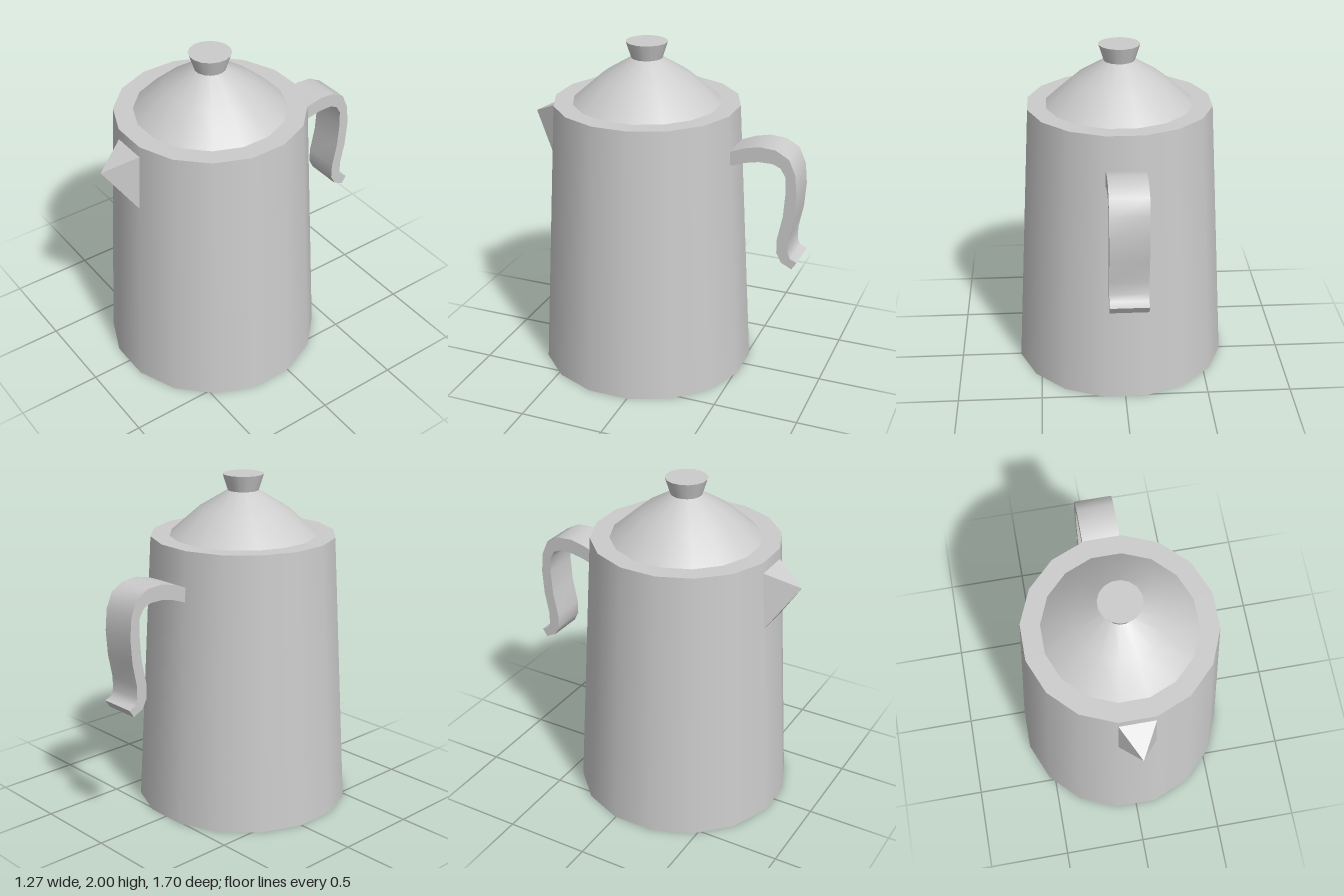
import * as THREE from 'three';
import { toCreasedNormals } from 'three/addons/utils/BufferGeometryUtils.js';

const SIDES = 16;
const START = Math.PI / SIDES; // a flat side faces front, back, left and right
const BODY_Z = 0.12;

export function createModel() {
  const model = new THREE.Group();
  const grey = new THREE.MeshStandardMaterial({ color: 0xcccccc });
  const faceted = new THREE.MeshStandardMaterial({ color: 0xcccccc, flatShading: true });

  function add(name, geometry, material = grey) {
    const mesh = new THREE.Mesh(geometry, material);
    mesh.name = name;
    model.add(mesh);
    return mesh;
  }

  function taperedCylinder(name, topRadius, bottomRadius, y0, y1) {
    const geometry = new THREE.CylinderGeometry(
      topRadius, bottomRadius, y1 - y0, SIDES, 1, false, START);
    add(name, geometry).position.set(0, (y0 + y1) / 2, BODY_Z);
  }

  // Tapered pot and flared knob
  taperedCylinder('body', 0.55, 0.645, 0, 1.645);
  taperedCylinder('knob', 0.122, 0.09, 1.9, 2);

  // Domed lid
  const lidProfile = [[0.438, 1.645], [0.262, 1.8], [0.09, 1.905]]
    .map(([r, y]) => new THREE.Vector2(r, y));
  add('lid', new THREE.LatheGeometry(lidProfile, SIDES, START)).position.z = BODY_Z;

  // Pyramid spout: four corners on the front wall and a tip
  const spout = new THREE.BufferGeometry();
  spout.setAttribute('position', new THREE.Float32BufferAttribute([
    -0.11, 1.235, 0.68,
    0.11, 1.235, 0.68,
    0.11, 1.585, 0.655,
    -0.11, 1.585, 0.655,
    0, 1.49, 0.85,
  ], 3));
  spout.setIndex([0, 1, 4, 1, 2, 4, 2, 3, 4, 3, 0, 4, 0, 2, 1, 0, 3, 2]);
  const spoutFaces = spout.toNonIndexed();
  spoutFaces.computeVertexNormals();
  add('spout', spoutFaces, faceted);

  // Curved strap handle: side outline as (z, y), extruded across x
  const outer = [
    [-0.42, 1.433], [-0.514, 1.47], [-0.604, 1.49], [-0.7, 1.483], [-0.78, 1.438],
    [-0.82, 1.347], [-0.832, 1.225], [-0.822, 1.077], [-0.795, 0.94], [-0.795, 0.865],
    [-0.81, 0.828], [-0.852, 0.81],
  ];
  const inner = [
    [-0.822, 0.764], [-0.758, 0.796], [-0.728, 0.854], [-0.728, 0.94], [-0.758, 1.088],
    [-0.768, 1.236], [-0.763, 1.33], [-0.732, 1.38], [-0.684, 1.4], [-0.604, 1.4],
    [-0.52, 1.383], [-0.42, 1.347],
  ];
  const outline = new THREE.Shape([...outer, ...inner].map(([z, y]) => new THREE.Vector2(z, y)));
  const strap = new THREE.ExtrudeGeometry(outline, { depth: 0.22, bevelEnabled: false });
  strap.translate(0, 0, -0.11);
  strap.rotateY(-Math.PI / 2);
  add('handle', toCreasedNormals(strap, 0.8));

  return model;
}
